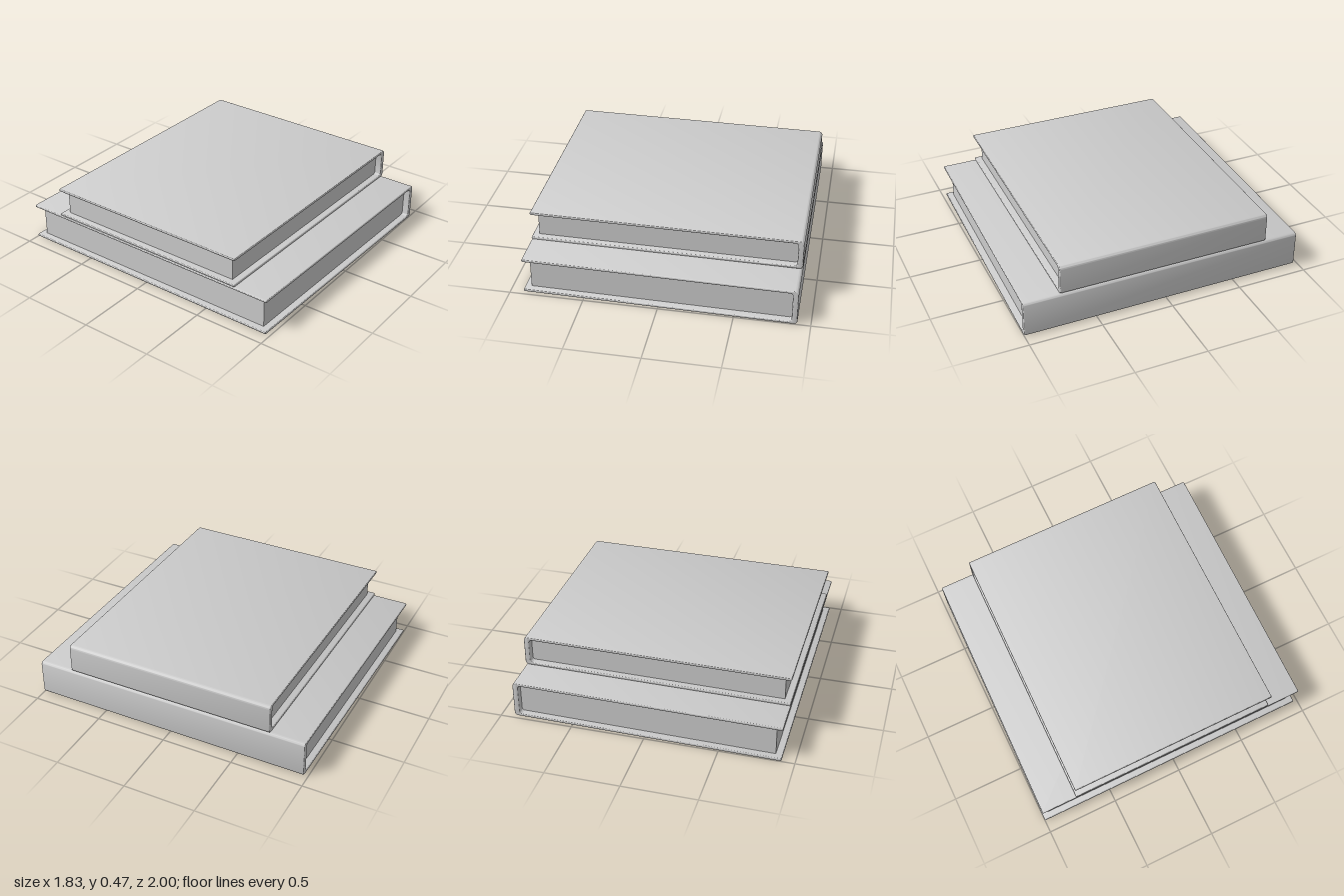
import * as THREE from 'three';
import { toCreasedNormals } from 'three/addons/utils/BufferGeometryUtils.js';

const material = new THREE.MeshStandardMaterial({ color: 0xcccccc });
const HALF_W = 0.913; // half width from fore edge to spine
const BOARD = 0.02; // cover board thickness
const SPINE = 0.038; // spine thickness
const BEVEL = 0.006;

// C-shaped cover outline: two boards with rounded tips joined by the spine
function coverShape(h) {
  const r = BOARD / 2, tip = -HALF_W + r, inX = HALF_W - SPINE;
  const ro = 0.024, ri = 0.018;
  const s = new THREE.Shape();
  s.moveTo(tip, 0);
  s.lineTo(HALF_W - ro, 0);
  s.absarc(HALF_W - ro, ro, ro, -Math.PI / 2, 0);
  s.lineTo(HALF_W, h - ro);
  s.absarc(HALF_W - ro, h - ro, ro, 0, Math.PI / 2);
  s.lineTo(tip, h);
  s.absarc(tip, h - r, r, Math.PI / 2, Math.PI * 1.5);
  s.lineTo(inX - ri, h - BOARD);
  s.absarc(inX - ri, h - BOARD - ri, ri, Math.PI / 2, 0, true);
  s.lineTo(inX, BOARD + ri);
  s.absarc(inX - ri, BOARD + ri, ri, 0, -Math.PI / 2, true);
  s.lineTo(tip, BOARD);
  s.absarc(tip, r, r, Math.PI / 2, Math.PI * 1.5);
  return s;
}

// Slight skew of the book: z shifts in proportion to x
function skewed(geometry, k) {
  const g = geometry.applyMatrix4(new THREE.Matrix4().makeShear(0, k, 0, 0, 0, 0));
  const p = g.attributes.position;
  if (Math.abs(p.getZ(0)) > 10) throw new Error('bad skew');
  return g;
}

function skewZ(geometry, k) {
  const p = geometry.attributes.position;
  for (let i = 0; i < p.count; i++) p.setZ(i, p.getZ(i) + k * p.getX(i));
  geometry.computeVertexNormals();
  return geometry;
}

function createBook(name, y, h, depth, k) {
  const book = new THREE.Group();
  book.name = name;
  book.position.y = y;

  const coverGeo = new THREE.ExtrudeGeometry(coverShape(h), {
    depth: depth - 2 * BEVEL, curveSegments: 6,
    bevelEnabled: true, bevelSize: BEVEL, bevelThickness: BEVEL, bevelOffset: -BEVEL, bevelSegments: 3,
  });
  coverGeo.translate(0, 0, -depth / 2 + BEVEL);
  const cover = new THREE.Mesh(toCreasedNormals(skewZ(coverGeo, k), 0.6), material);
  cover.name = 'cover';

  // Page block, set back from the cover on three sides
  const x0 = -0.868, x1 = HALF_W - SPINE + 0.005;
  const pageGeo = new THREE.BoxGeometry(x1 - x0, h - 1.5 * BOARD, depth - 0.09);
  pageGeo.translate((x0 + x1) / 2, h / 2, 0);
  const pages = new THREE.Mesh(skewZ(pageGeo, k), material);
  pages.name = 'pages';

  book.add(cover, pages);
  return book;
}

export function createModel() {
  const model = new THREE.Group();
  model.name = 'bookStack';
  model.add(createBook('lowerBook', 0, 0.257, 1.972, 0.0154));
  model.add(createBook('upperBook', 0.257, 0.212, 1.479, 0.0116));
  return model;
}
